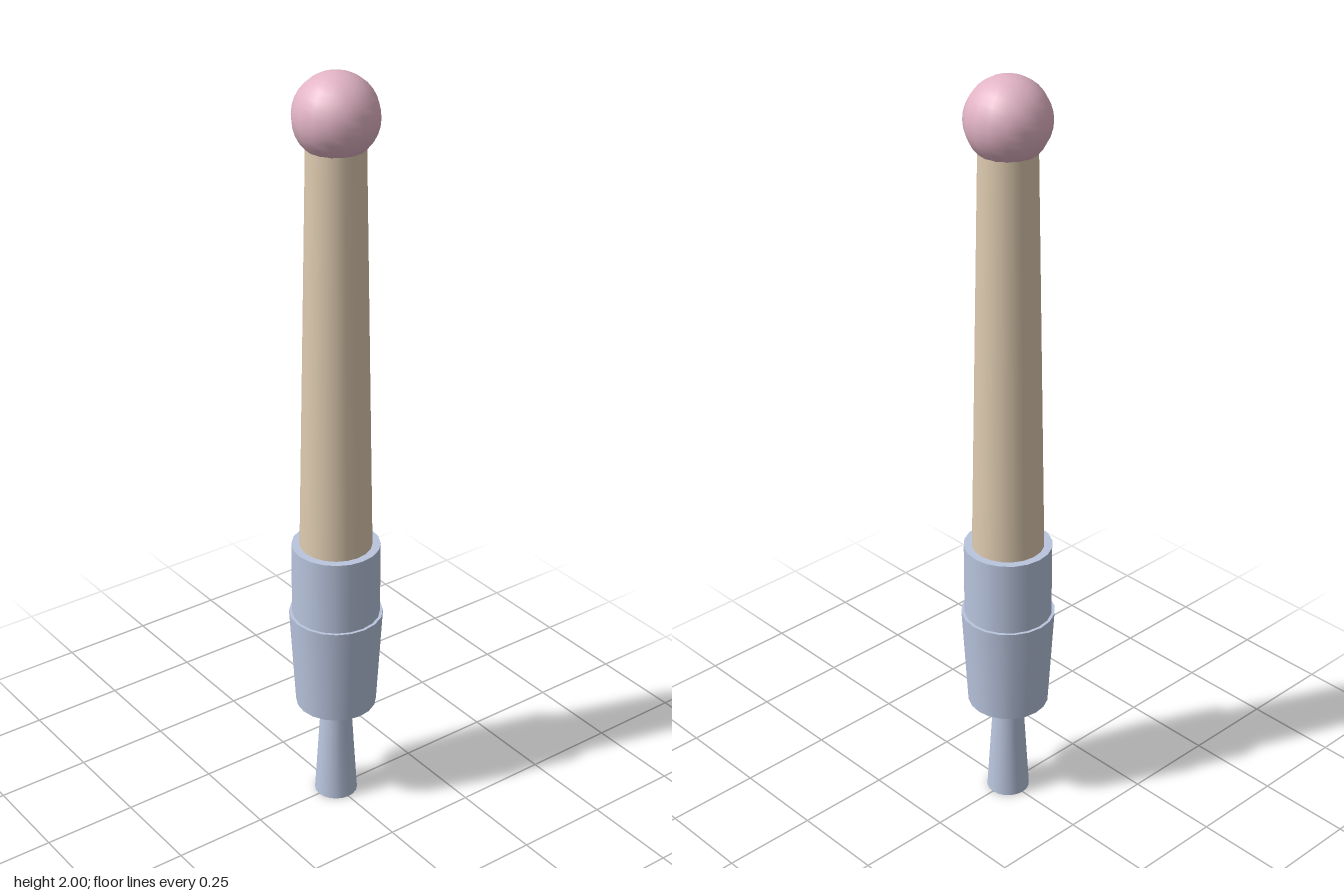
import * as THREE from 'three';

export function createModel() {
  const group = new THREE.Group();
  const steel = new THREE.MeshStandardMaterial({ name: 'steel blue', color: 0xb9c5de });
  const wood = new THREE.MeshStandardMaterial({ name: 'pale wood', color: 0xdecbb0 });
  const pink = new THREE.MeshStandardMaterial({ name: 'soft pink', color: 0xe2b4c5 });

  // Closed tapered section standing between two heights
  function section(name, material, y0, y1, r0, r1) {
    const mesh = new THREE.Mesh(new THREE.CylinderGeometry(r1, r0, y1 - y0, 20), material);
    mesh.name = name;
    mesh.position.y = (y0 + y1) / 2;
    group.add(mesh);
  }

  section('stem', steel, 0, 0.29, 0.057, 0.039);
  section('taperedSocket', steel, 0.29, 0.565, 0.106, 0.122);
  section('collar', steel, 0.565, 0.765, 0.114, 0.114);
  section('shaft', wood, 0.765, 1.84, 0.093, 0.0715);

  // Round tip, overlapping the end of the shaft
  const ball = new THREE.Mesh(new THREE.SphereGeometry(0.105, 16, 16), pink);
  ball.name = 'ballTip';
  ball.position.y = 1.895;
  group.add(ball);

  return group;
}
